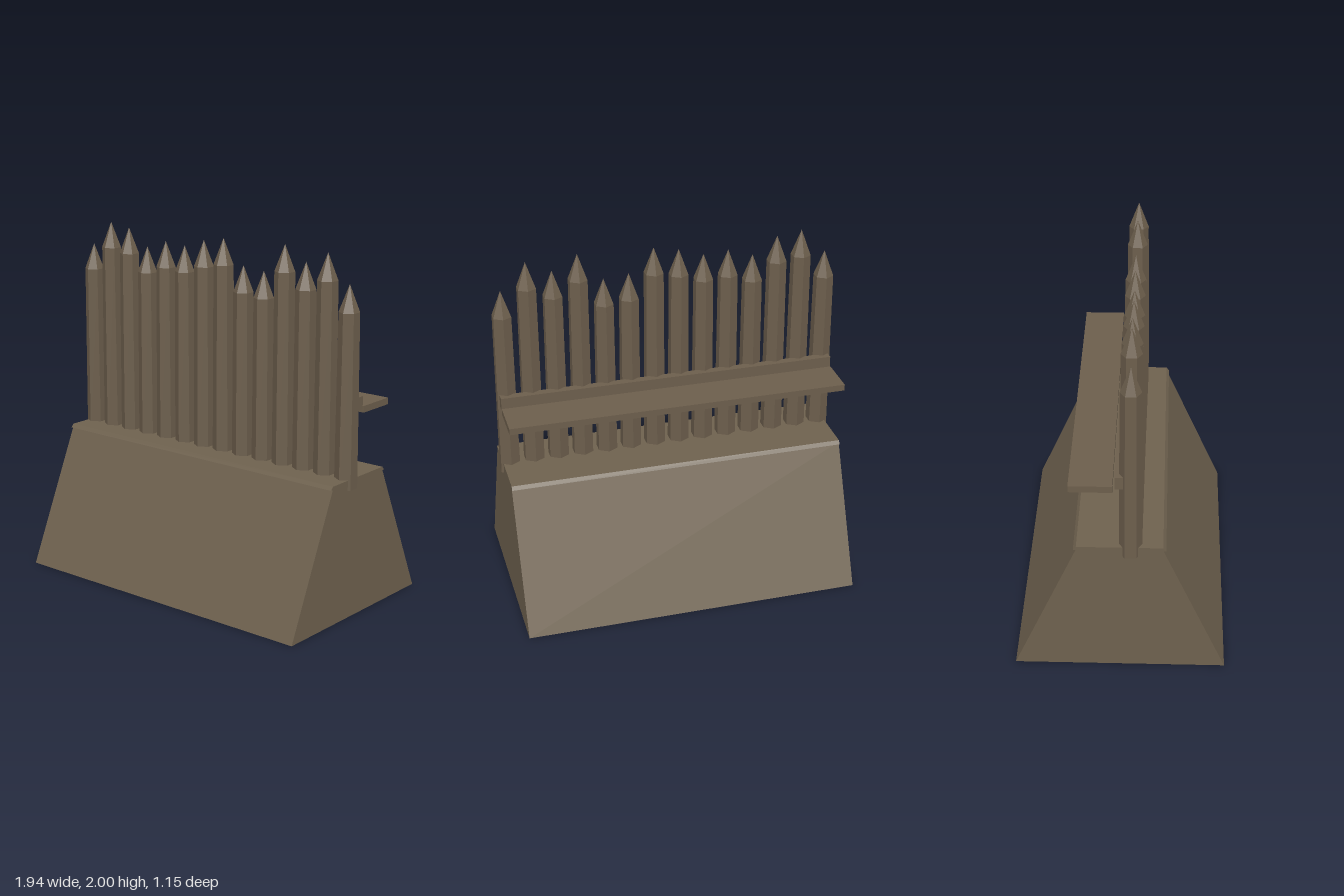
import * as THREE from 'three';

const earth = new THREE.MeshStandardMaterial({ color: 0x6e614e, flatShading: true });
earth.name = 'earth brown';
const wood = new THREE.MeshStandardMaterial({ color: 0x6c5e4c, flatShading: true });
wood.name = 'weathered wood';

const HALF = 0.957; // half length of bank and planks

// Extrudes a symmetric trapezoid (z half depths at y0 and y1) along x
function bank(name, y0, half0, y1, half1) {
  const shape = new THREE.Shape([
    new THREE.Vector2(-half0, y0), new THREE.Vector2(half0, y0),
    new THREE.Vector2(half1, y1), new THREE.Vector2(-half1, y1),
  ]);
  const geo = new THREE.ExtrudeGeometry(shape, { depth: HALF * 2, bevelEnabled: false });
  geo.translate(0, 0, -HALF).rotateY(Math.PI / 2);
  const mesh = new THREE.Mesh(geo, earth);
  mesh.name = name;
  return mesh;
}

function plank(name, y0, y1, z0, z1) {
  const mesh = new THREE.Mesh(new THREE.BoxGeometry(HALF * 2, y1 - y0, z1 - z0), wood);
  mesh.position.set(0, (y0 + y1) / 2, (z0 + z1) / 2);
  mesh.name = name;
  return mesh;
}

// Six-sided tapered post with a pointed top
function stake(x, top) {
  const bottom = 0.73, tip = 0.148;
  const body = top - tip - bottom;
  const post = new THREE.Mesh(new THREE.CylinderGeometry(0.0565, 0.0625, body, 6), wood);
  post.name = 'stakePost';
  post.position.y = bottom + body / 2;
  const point = new THREE.Mesh(new THREE.ConeGeometry(0.0565, tip, 6, 1, true), wood);
  point.name = 'stakePoint';
  point.position.y = top - tip / 2;
  const group = new THREE.Group();
  group.name = 'stake';
  group.add(post, point);
  group.position.set(x, 0, 0.057);
  return group;
}

export function createModel() {
  const model = new THREE.Group();
  model.name = 'palisade';

  // Sloping earth bank with a thin overhanging lip
  model.add(bank('earthBank', 0, 0.573, 0.775, 0.228));
  model.add(bank('bankTop', 0.768, 0.246, 0.787, 0.23));

  // Row of stakes of uneven height
  const tops = [1.86, 2.0, 1.98, 1.885, 1.93, 1.92, 1.965, 1.99, 1.855, 1.84, 2.0, 1.92, 1.985, 1.835];
  const palisade = new THREE.Group();
  palisade.name = 'stakes';
  tops.forEach((top, i) => palisade.add(stake(-0.92 + i * 0.1412, top)));
  model.add(palisade);

  // Rail behind the stakes and the walkway beside it
  model.add(plank('rail', 1.155, 1.227, -0.026, 0.02));
  model.add(plank('walkway', 1.133, 1.17, -0.267, -0.037));
  return model;
}
